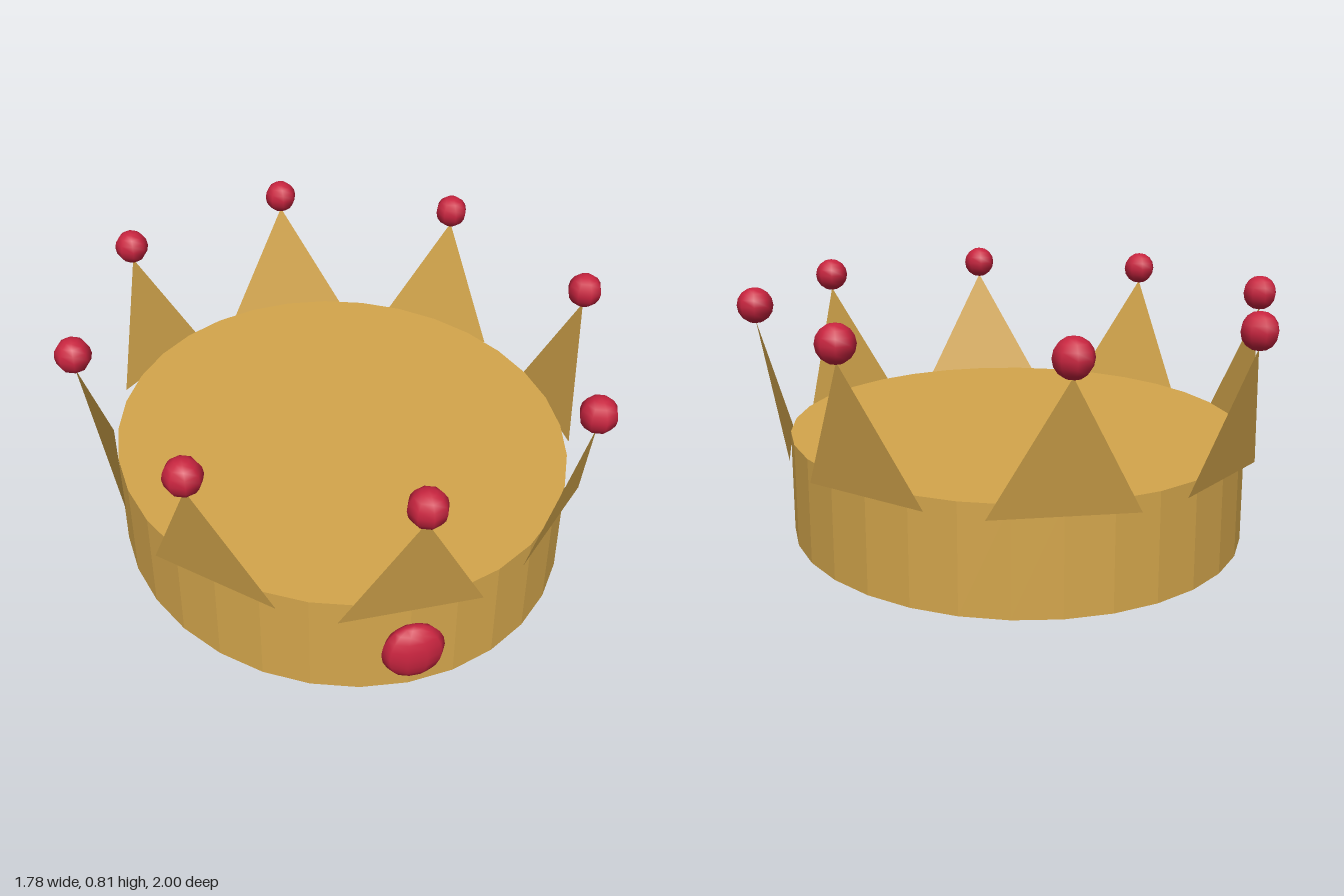
import * as THREE from 'three';

const RX = 0.74, RZ = 0.85, BAND_H = 0.333;
const SPIKES = 8, SPIKE_BASE = 0.297, SPIKE_H = 0.403, SPIKE_HALF = 0.215, FLARE = 0.093;
const TIP_GEM_R = 0.057;

export function createModel() {
  const crown = new THREE.Group();
  crown.name = 'crown';

  const gold = new THREE.MeshStandardMaterial({ color: 0xd4a64c, flatShading: true });
  const goldThin = new THREE.MeshStandardMaterial({ color: 0xd4a64c, flatShading: true, side: THREE.DoubleSide });
  const ruby = new THREE.MeshStandardMaterial({ color: 0xc8243f });

  const add = (parent, name, geometry, material) => {
    const mesh = new THREE.Mesh(geometry, material);
    mesh.name = name;
    parent.add(mesh);
    return mesh;
  };

  // Oval closed band
  const band = add(crown, 'band',
    new THREE.CylinderGeometry(1, 1, BAND_H, 32).scale(RX, 1, RZ), gold);
  band.position.y = BAND_H / 2;

  // Thin triangular spike leaning outward (+z), with its base at the origin
  const spikeGeometry = new THREE.BufferGeometry();
  spikeGeometry.setAttribute('position', new THREE.Float32BufferAttribute([
    -SPIKE_HALF, 0, 0,
    SPIKE_HALF, 0, 0,
    0, SPIKE_H, FLARE,
  ], 3));
  spikeGeometry.computeVertexNormals();
  const tipGeometry = new THREE.SphereGeometry(TIP_GEM_R, 8, 8);

  // Ring of spikes, each with a gem on its tip
  for (let i = 0; i < SPIKES; i++) {
    const angle = (i / SPIKES) * Math.PI * 2;
    const point = new THREE.Group();
    point.name = `crownPoint${i + 1}`;
    point.position.set(RX * Math.sin(angle), SPIKE_BASE, RZ * Math.cos(angle));
    point.rotation.y = angle;
    add(point, 'spike', spikeGeometry, goldThin);
    add(point, 'tipGem', tipGeometry, ruby).position.set(0, SPIKE_H + 0.05, FLARE);
    crown.add(point);
  }

  // Flattened jewel set into the front of the band
  const jewel = add(crown, 'frontJewel', new THREE.SphereGeometry(0.095, 10, 10), ruby);
  jewel.scale.z = 0.5;
  jewel.position.set(0, 0.172, 0.882);

  return crown;
}
